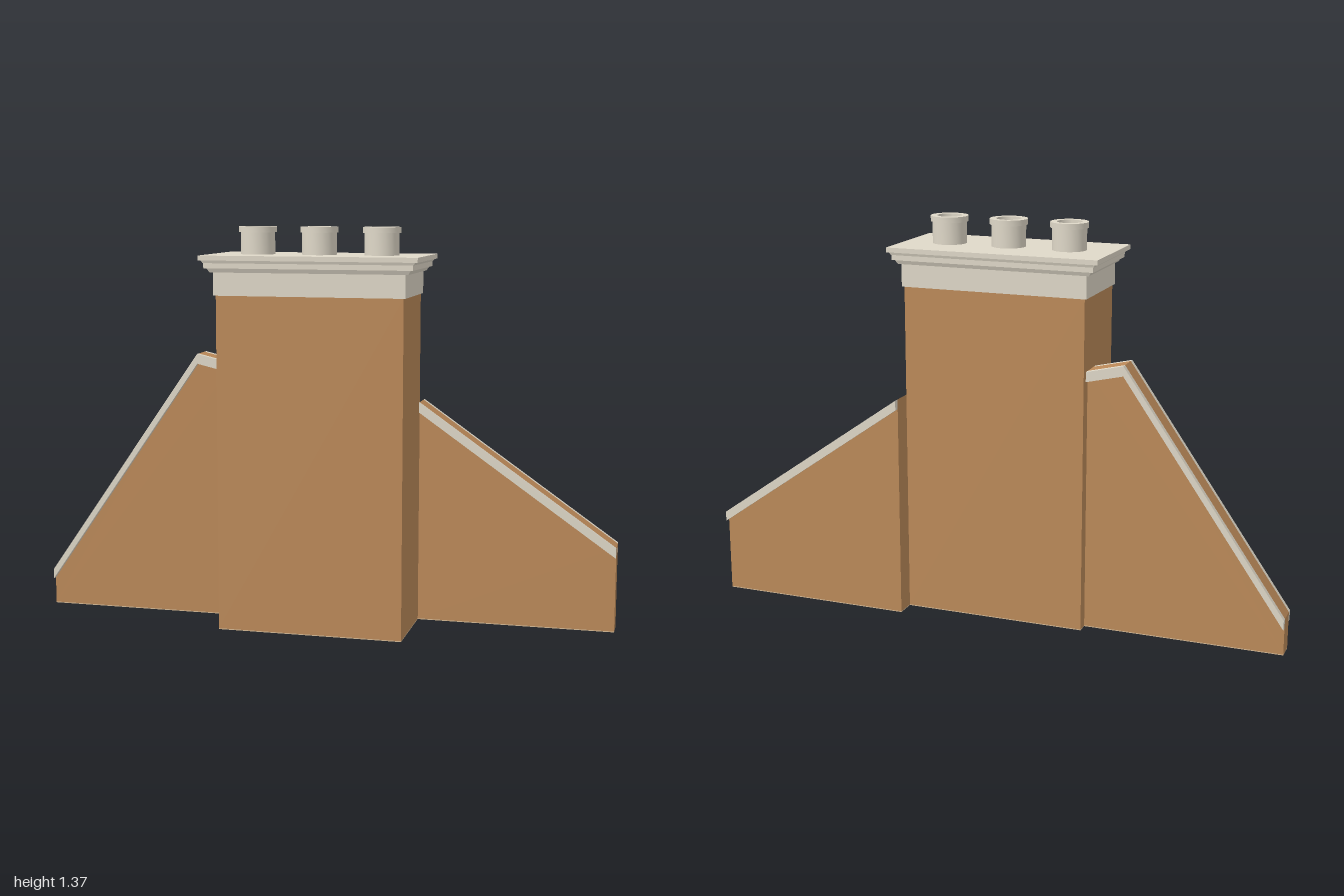
import * as THREE from 'three';
import { toCreasedNormals } from 'three/addons/utils/BufferGeometryUtils.js';

const paint = (name, color) => {
  const material = new THREE.MeshStandardMaterial({ color });
  material.name = name;
  return material;
};
const brick = paint('brick', 0xbc8a59);
const stone = paint('stone', 0xdfd8c8);
const flue = paint('flue', 0xa5a39c);
const footing = paint('footing', 0xd6ba96);

const STACK_X = 0.003, STACK_Z = 0.029;
const FOOT = 0.003; // thickness of the footing plates

export function createModel() {
  const model = new THREE.Group();
  model.name = 'chimney';

  const add = (name, geometry, material, parent = model) => {
    const mesh = new THREE.Mesh(geometry, material);
    mesh.name = name;
    parent.add(mesh);
  };

  // Outline in x and y, extruded from z0 to z1
  const slab = (points, z0, z1) => {
    const shape = new THREE.Shape(points.map(([x, y]) => new THREE.Vector2(x, y)));
    const geometry = new THREE.ExtrudeGeometry(shape, { depth: z1 - z0, bevelEnabled: false });
    return geometry.translate(0, 0, z0);
  };

  // Rectangular block whose bottom may be smaller than its top
  const block = (y0, y1, bottom, top = bottom) => {
    const geometry = new THREE.BoxGeometry(2, 1, 2);
    const p = geometry.attributes.position;
    for (let i = 0; i < p.count; i++) {
      const upper = p.getY(i) > 0;
      const [w, d] = upper ? top : bottom;
      p.setXYZ(i, p.getX(i) * w + STACK_X, upper ? y1 : y0, p.getZ(i) * d + STACK_Z);
    }
    geometry.computeVertexNormals();
    return geometry;
  };

  // Stack and its moulded cap
  add('stackFooting', block(0, FOOT, [0.318, 0.147]), footing);
  add('stack', block(FOOT, 1.142, [0.318, 0.147]), brick);
  const cap = new THREE.Group();
  cap.name = 'cap';
  model.add(cap);
  add('capNeck', block(1.142, 1.219, [0.325, 0.153]), stone, cap);
  add('lowerMoulding', block(1.219, 1.233, [0.335, 0.159], [0.344, 0.165]), stone, cap);
  add('middleSlab', block(1.233, 1.25, [0.352, 0.172]), stone, cap);
  add('upperMoulding', block(1.25, 1.259, [0.354, 0.173], [0.36, 0.176]), stone, cap);
  add('topSlab', block(1.259, 1.275, [0.369, 0.179]), stone, cap);

  // Chimney pots with hollow flues
  const profile = [
    [0.058, 1.275], [0.058, 1.349], [0.064, 1.349], [0.064, 1.368],
    [0.042, 1.368], [0.042, 1.287],
  ].map(([r, y]) => new THREE.Vector2(r, y));
  const potGeometry = toCreasedNormals(new THREE.LatheGeometry(profile, 32), 0.5);
  const flueGeometry = new THREE.CircleGeometry(0.042, 32).rotateX(-Math.PI / 2).translate(0, 1.287, 0);
  for (const x of [-0.214, 0, 0.214]) {
    const pot = new THREE.Group();
    pot.name = 'chimneyPot';
    pot.position.set(x + STACK_X, 0, 0.029);
    model.add(pot);
    add('potBody', potGeometry, stone, pot);
    add('flueFloor', flueGeometry, flue, pot);
  }

  // Gable wall with a coping strip along each side of its top edge
  const gable = (name, top, wallZ, copingZ) => {
    const group = new THREE.Group();
    group.name = name;
    model.add(group);
    const x0 = top[0][0], x1 = top[top.length - 1][0];
    const edge = [...top].reverse();
    add('gableFooting', slab([[x0, 0], [x1, 0], [x1, FOOT], [x0, FOOT]], ...wallZ), footing, group);
    add('wall', slab([[x0, FOOT], [x1, FOOT], ...edge], ...wallZ), brick, group);
    const band = [...top.map(([x, y]) => [x, y - 0.034]), ...edge];
    add('backCoping', slab(band, copingZ[0], wallZ[0]), stone, group);
    add('frontCoping', slab(band, wallZ[1], copingZ[1]), stone, group);
  };
  gable('rightGable', [[-1, 0.128], [-0.442, 0.927], [-0.315, 0.897]], [-0.078, -0.014], [-0.097, 0.004]);
  gable('leftGable', [[0.321, 0.768], [1, 0.294]], [-0.189, -0.118], [-0.208, -0.104]);

  return model;
}
